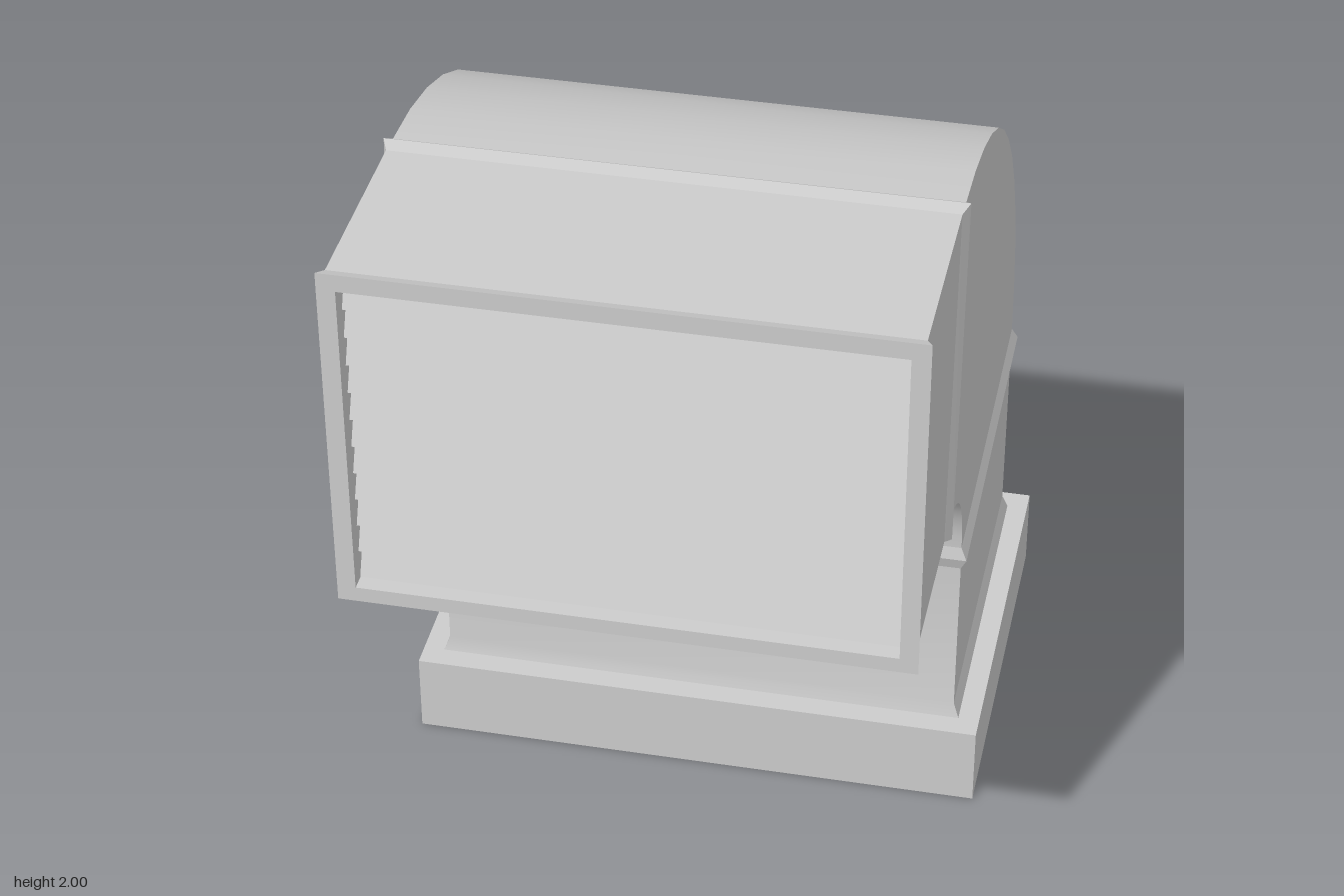
import * as THREE from 'three';
import { toCreasedNormals } from 'three/addons/utils/BufferGeometryUtils.js';

const material = new THREE.MeshStandardMaterial({ color: 0xcccccc, side: THREE.DoubleSide });

// Open shell through rectangular sections: [inner z, inner y, outer z, outer y, half width]
function duct(name, sections) {
  const positions = [];
  const index = [];
  for (const [iz, iy, oz, oy, w] of sections) {
    positions.push(w, iy, iz, w, oy, oz, -w, oy, oz, -w, iy, iz);
  }
  for (let i = 0; i < sections.length - 1; i++) {
    for (let j = 0; j < 4; j++) {
      const a = i * 4 + j;
      const b = i * 4 + (j + 1) % 4;
      index.push(a, b, b + 4, a, b + 4, a + 4);
    }
  }
  const geometry = new THREE.BufferGeometry();
  geometry.setAttribute('position', new THREE.Float32BufferAttribute(positions, 3));
  geometry.setIndex(index);
  const mesh = new THREE.Mesh(toCreasedNormals(geometry, 0.3), material);
  mesh.name = name;
  return mesh;
}

export function createModel() {
  const group = new THREE.Group();
  group.name = 'ventDuct';
  const W = 0.68; // duct half width
  const R = 0.695; // half width at ridges and flares

  // Open-bottomed base collar with a flat ledge
  group.add(duct('baseCollar', [
    [0.13, 0, -0.92, 0, 0.75],
    [0.13, 0.22, -0.92, 0.22, 0.75],
    [0.07, 0.22, -0.86, 0.22, R],
  ]));

  // Upright duct, flared where it meets the collar
  const lowerSeam = [0.06, 0.71, -0.85, 0.765, W];
  group.add(duct('uprightDuct', [
    [0.07, 0.22, -0.86, 0.22, R],
    [0.06, 0.26, -0.85, 0.26, W],
    lowerSeam,
  ]));

  // Quarter-turn elbow
  const bend = [];
  const steps = 12;
  for (let i = 0; i <= steps; i++) {
    const t = (i / steps) * Math.PI / 2;
    const c = Math.cos(t);
    const s = Math.sin(t);
    bend.push([0.37 - 0.305 * c, 0.78 + 0.295 * s, 0.32 - 1.165 * c, 0.835 + 1.15 * s, W]);
  }
  group.add(duct('elbow', bend));

  // Raised seam ridges at both ends of the elbow
  group.add(duct('lowerRidge', [lowerSeam, [0.072, 0.745, -0.86, 0.8, R], bend[0]]));
  const upperSeam = [0.43, 1.08, 0.38, 1.99, W];
  group.add(duct('upperRidge', [bend[steps], [0.4, 1.068, 0.345, 2, R], upperSeam]));

  // Outlet box with flared lip, face frame and recess
  group.add(duct('outlet', [
    upperSeam,
    [0.89, 1.08, 0.89, 1.99, W],
    [0.92, 1.07, 0.92, 2, R],
    [0.92, 1.11, 0.92, 1.955, 0.65],
    [0.83, 1.11, 0.83, 1.955, 0.65],
  ]));

  // Downward-sloping louvres
  const louvres = new THREE.Group();
  louvres.name = 'louvres';
  const count = 11;
  const pitch = 0.845 / count;
  const slat = new THREE.BoxGeometry(1.3, 0.083, 0.008);
  for (let i = 0; i < count; i++) {
    const mesh = new THREE.Mesh(slat, material);
    mesh.name = 'louvre';
    mesh.position.set(0, 1.11 + (i + 0.5) * pitch, 0.86);
    mesh.rotation.x = -0.4;
    louvres.add(mesh);
  }
  group.add(louvres);
  return group;
}
